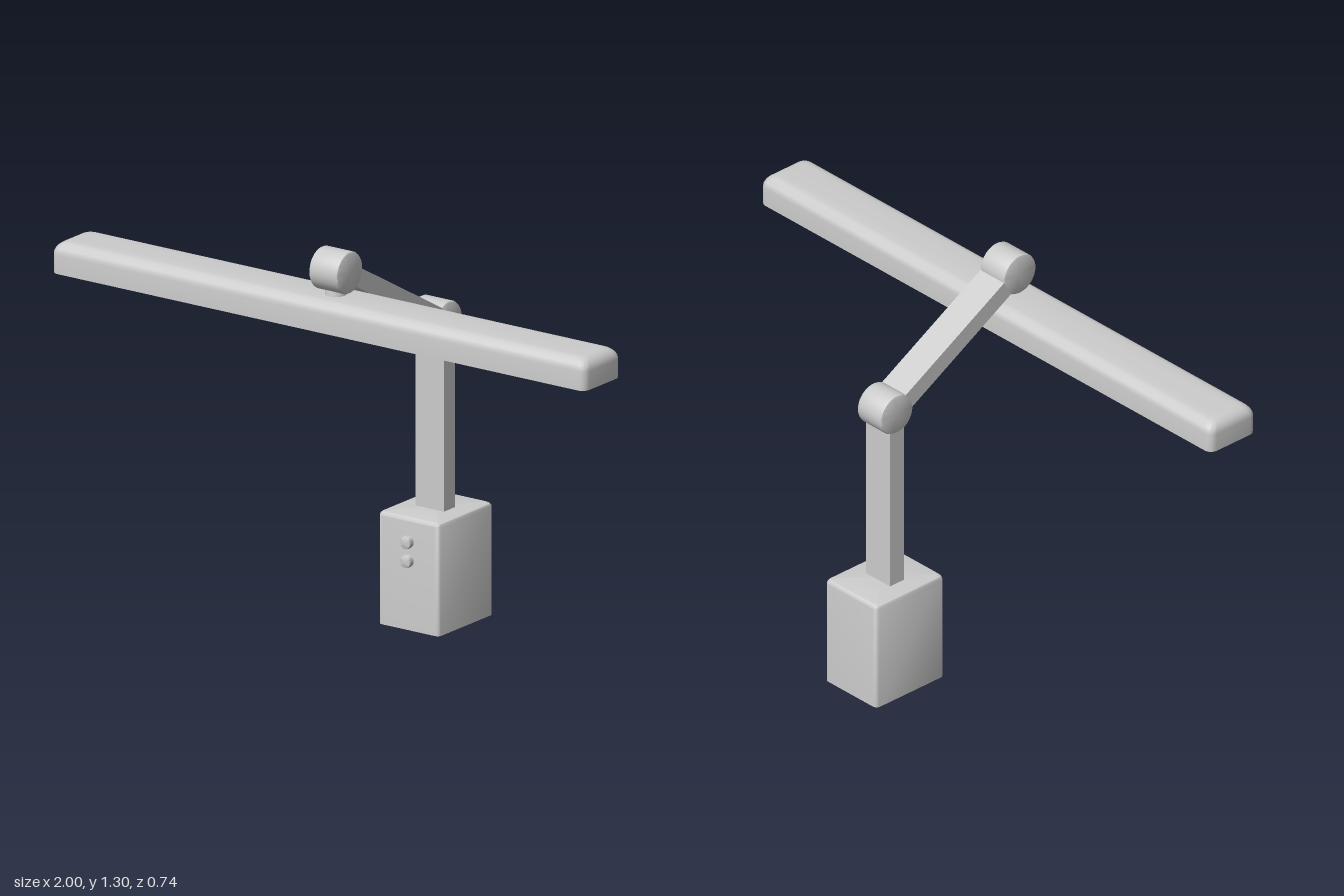
import * as THREE from 'three';
import { toCreasedNormals } from 'three/addons/utils/BufferGeometryUtils.js';

// Points of a rounded rectangle in the xz plane.
function rectRing(hx, hz, r, y, n = 5) {
  const pts = [];
  [[1, 1], [-1, 1], [-1, -1], [1, -1]].forEach(([sx, sz], q) => {
    for (let i = 0; i <= n; i++) {
      const a = (q + i / n) * Math.PI / 2;
      pts.push(new THREE.Vector3(sx * (hx - r) + r * Math.cos(a), y, sz * (hz - r) + r * Math.sin(a)));
    }
  });
  return pts;
}

// Skin over rings [halfX, halfZ, cornerRadius, y], closed at both ends.
function loft(rings) {
  const loops = rings.map(([hx, hz, r, y]) => rectRing(hx, hz, r, y));
  const m = loops[0].length, last = loops.length - 1;
  const pos = loops.flat().flatMap(p => [p.x, p.y, p.z]);
  pos.push(0, rings[0][3], 0, 0, rings[last][3], 0);
  const start = m * loops.length, idx = [];
  for (let j = 0; j < m; j++) {
    const k = (j + 1) % m;
    idx.push(start, j, k, start + 1, last * m + k, last * m + j);
    for (let i = 0; i < last; i++) {
      const a = i * m + j, b = i * m + k;
      idx.push(a, a + m, b, b, a + m, b + m);
    }
  }
  const g = new THREE.BufferGeometry();
  g.setAttribute('position', new THREE.Float32BufferAttribute(pos, 3));
  g.setIndex(idx);
  return toCreasedNormals(g, 0.6);
}

// Rings that roll the top edge over by radius e.
function roundedTop(hx, hz, r, top, e, n = 6) {
  const rings = [];
  for (let i = 0; i <= n; i++) {
    const a = i / n * Math.PI / 2, inset = e * (1 - Math.cos(a));
    rings.push([hx - inset, hz - inset, r, top - e + e * Math.sin(a)]);
  }
  return rings;
}

// Cylinder with softened rims, turned about its own axis.
function softCylinder(r, half, bevel, segments = 40) {
  const profile = [[0, -half], [r - bevel, -half], [r - bevel * 0.3, -half + bevel * 0.3], [r, -half + bevel],
    [r, half - bevel], [r - bevel * 0.3, half - bevel * 0.3], [r - bevel, half], [0, half]]
    .map(([x, y]) => new THREE.Vector2(x, y));
  return toCreasedNormals(new THREE.LatheGeometry(profile, segments), 0.6);
}

export function createModel() {
  const model = new THREE.Group();
  model.name = 'deskLamp';
  const grey = new THREE.MeshStandardMaterial({ color: 0xcccccc });
  grey.name = 'light grey';

  const add = (name, geometry, x, y, z) => {
    const mesh = new THREE.Mesh(geometry, grey);
    mesh.name = name;
    mesh.position.set(x, y, z);
    model.add(mesh);
    return mesh;
  };

  const elbow = { y: 0.95, z: -0.229 }, head = { y: 1.236, z: 0.278 };

  // Base block with two push buttons
  add('base', loft([[0.114, 0.14, 0.015, 0], ...roundedTop(0.114, 0.14, 0.015, 0.357, 0.014)]), 0, 0, -0.231);
  for (const [name, y] of [['upperButton', 0.28], ['lowerButton', 0.22]]) {
    add(name, softCylinder(0.02, 0.014, 0.005, 24), 0, y, -0.086).rotation.x = Math.PI / 2;
  }

  // Upright post
  add('post', new THREE.BoxGeometry(0.106, 0.6, 0.058), 0, 0.65, elbow.z);

  // Round joints
  add('elbowJoint', softCylinder(0.066, 0.054, 0.007), 0, elbow.y, elbow.z).rotation.z = Math.PI / 2;
  add('headJoint', softCylinder(0.066, 0.054, 0.007), 0, head.y, head.z).rotation.z = Math.PI / 2;

  // Sloping arm between the joints
  const dy = head.y - elbow.y, dz = head.z - elbow.z;
  add('arm', new THREE.BoxGeometry(0.105, 0.058, Math.hypot(dy, dz) - 0.06),
    0, (head.y + elbow.y) / 2, (head.z + elbow.z) / 2).rotation.x = -Math.atan2(dy, dz);

  // Short neck under the head joint
  add('neck', new THREE.CylinderGeometry(0.028, 0.034, 0.05, 32), 0, 1.175, head.z);

  // Long hollow shade: cavity ceiling, cavity wall, rim, outer wall, rounded top
  add('shade', loft([
    [0.93, 0.062, 0.012, 1.135],
    [0.935, 0.074, 0.012, 1.062],
    [0.999, 0.094, 0.025, 1.062],
    ...roundedTop(1, 0.094, 0.025, 1.16, 0.038),
  ]), 0, 0, 0.277);

  // Light tube with a socket at each end
  const tube = add('lightTube', new THREE.CylinderGeometry(0.024, 0.024, 1.78, 24), 0, 1.095, 0.277);
  tube.rotation.z = Math.PI / 2;
  for (const s of [-1, 1]) {
    add(s > 0 ? 'leftSocket' : 'rightSocket', new THREE.BoxGeometry(0.03, 0.07, 0.06), s * 0.9, 1.103, 0.277);
  }
  return model;
}
